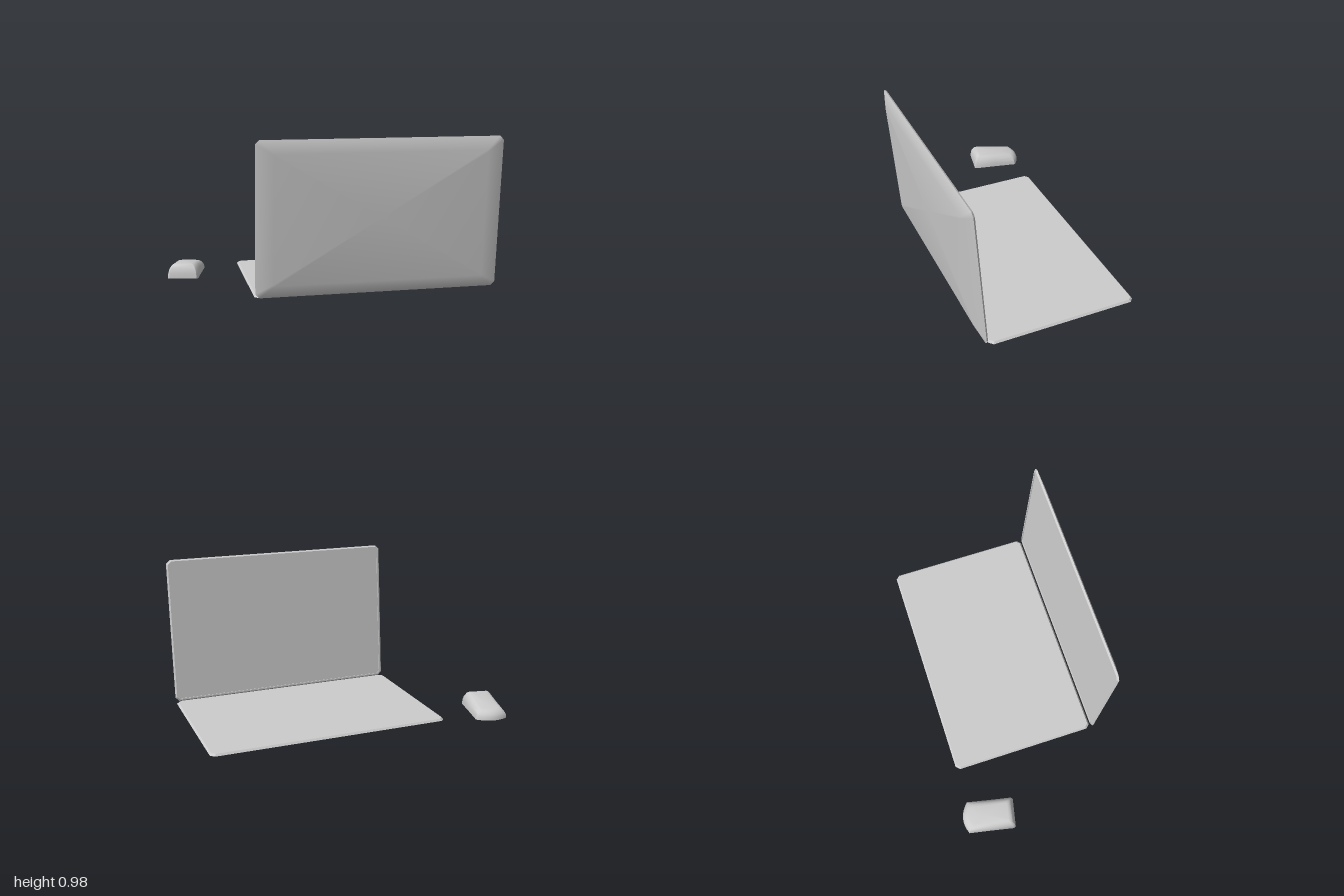
import * as THREE from 'three';
import { toCreasedNormals } from 'three/addons/utils/BufferGeometryUtils.js';

const grey = new THREE.MeshStandardMaterial({ color: 0xcccccc });
grey.name = 'light grey';

// Skin a stack of closed rings (counter-clockwise from above) and cap the last one.
function loft(rings, { down = false, capFirst = false } = {}) {
  const n = rings[0].length;
  const points = rings.flat();
  const index = [];
  const tri = (a, b, c) => (down ? index.push(a, c, b) : index.push(a, b, c));
  for (let r = 0; r < rings.length - 1; r++) {
    for (let i = 0; i < n; i++) {
      const a = r * n + i, b = r * n + (i + 1) % n;
      tri(a, b, b + n);
      tri(a, b + n, a + n);
    }
  }
  const cap = (ring, flip) => {
    const start = ring * n;
    const centre = new THREE.Vector3();
    rings[ring].forEach((p) => centre.addScaledVector(p, 1 / n));
    const c = points.push(centre) - 1;
    for (let i = 0; i < n; i++) {
      const a = start + i, b = start + (i + 1) % n;
      if (flip) tri(c, b, a); else tri(c, a, b);
    }
  };
  cap(rings.length - 1, false);
  if (capFirst) cap(0, true);
  const geometry = new THREE.BufferGeometry().setFromPoints(points);
  geometry.setIndex(index);
  geometry.computeVertexNormals();
  return geometry;
}

// Rectangle with clipped corners at height y.
function plate(hx, hz, c, y) {
  return [
    [hx, hz - c], [hx, c - hz], [hx - c, -hz], [c - hx, -hz],
    [-hx, c - hz], [-hx, hz - c], [c - hx, hz], [hx - c, hz],
  ].map(([x, z]) => new THREE.Vector3(x, y, z));
}

function addMesh(parent, name, geometry) {
  const mesh = new THREE.Mesh(geometry, grey);
  mesh.name = name;
  parent.add(mesh);
}

// Thin half of the laptop: softly bevelled shell outside, crisp face inside (+y).
function panel(name, hz, shellRing, faceRings) {
  const group = new THREE.Group();
  group.name = name;
  const rim = () => plate(0.755, hz, 0.025, 0);
  addMesh(group, name + 'Shell', loft([rim(), shellRing], { down: true }));
  addMesh(group, name + 'Face', toCreasedNormals(loft([rim(), ...faceRings]), 0.3));
  return group;
}

// Mouse: plan outline shrunk towards a top that slopes down to the rounded end.
function mouseGeometry() {
  const outline = [[0.1, 0.012], [0.1, 0.16], [0.102, 0.308]];
  for (let i = 1; i < 8; i++) {
    const u = 0.102 - 0.204 * i / 8;
    outline.push([u, 0.308 + 0.035 * (1 - (u / 0.102) ** 2)]);
  }
  outline.push([-0.102, 0.308], [-0.1, 0.16], [-0.1, 0.012], [-0.09, 0], [0.09, 0]);
  const levels = [[0, 0], [0.35, 0.002], [0.62, 0.009], [0.83, 0.02], [0.95, 0.032], [1, 0.045]];
  const rings = levels.map(([t, inset]) => outline.map(([u, v]) => {
    const su = u * (1 - inset / 0.1);
    const sv = 0.17 + (v - 0.17) * (1 - inset / 0.17);
    return new THREE.Vector3(su, t * (0.098 - 0.125 * sv), -sv);
  }));
  return toCreasedNormals(loft(rings, { capFirst: true }), 0.75);
}

export function createModel() {
  const model = new THREE.Group();
  model.name = 'laptopAndMouse';

  // Keyboard half, lying flat
  const base = panel('base', 0.4775, plate(0.645, 0.398, 0.01, -0.018), [
    plate(0.745, 0.4675, 0.022, 0.012),
  ]);
  base.position.set(0.24, 0.028, -0.0275);
  model.add(base);

  // Screen half, tilted back, with a slightly sunken display
  const lid = panel('lid', 0.474, plate(0.65, 0.394, 0.01, -0.032), [
    plate(0.745, 0.465, 0.022, 0.0115),
    plate(0.735, 0.455, 0.015, 0.0115),
    plate(0.735, 0.455, 0.015, 0.006),
  ]);
  lid.position.set(0.24, 0.503, 0.504);
  lid.rotation.x = -1.4916;
  model.add(lid);

  // Mouse beside the laptop
  const mouse = new THREE.Group();
  mouse.name = 'mouse';
  addMesh(mouse, 'mouseBody', mouseGeometry());
  mouse.position.set(-0.9025, 0, -0.225);
  mouse.rotation.y = -0.21;
  model.add(mouse);

  return model;
}
